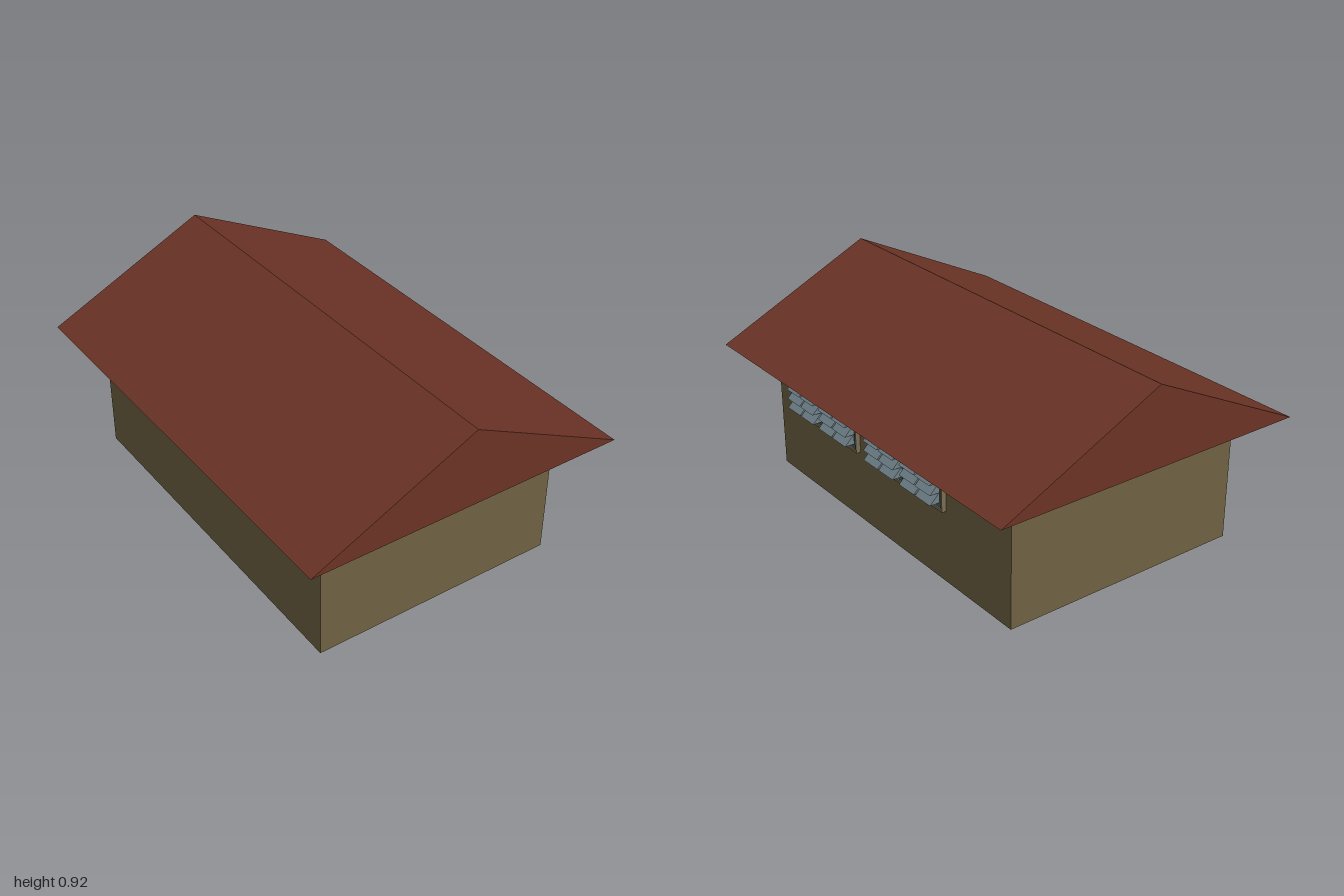
import * as THREE from 'three';

const material = (color) => new THREE.MeshStandardMaterial({ color, flatShading: true });
const wallMat = material(0x6f6242);
const roofMat = material(0x6b3326);
const frameMat = material(0x7a6f55);
const sashMat = material(0x46606c);
const glassMat = material(0x70828a);

function add(parent, name, geometry, mat, x = 0, y = 0, z = 0) {
  const mesh = new THREE.Mesh(geometry, mat);
  mesh.name = name;
  mesh.position.set(x, y, z);
  parent.add(mesh);
  return mesh;
}

// Prism from an x-y outline, centred along z
function prism(points, length) {
  const shape = new THREE.Shape(points.map(([x, y]) => new THREE.Vector2(x, y)));
  return new THREE.ExtrudeGeometry(shape, { depth: length, bevelEnabled: false })
    .translate(0, 0, -length / 2);
}

// Rectangular frame with evenly spaced openings, facing +x, back on x = 0
function frame(width, height, depth, openings) {
  const w = width / 2, h = height / 2;
  const shape = new THREE.Shape([[-w, -h], [w, -h], [w, h], [-w, h]]
    .map(([x, y]) => new THREE.Vector2(x, y)));
  for (const { centre, hw, hh } of openings) {
    shape.holes.push(new THREE.Path([[-hw, -hh], [-hw, hh], [hw, hh], [hw, -hh]]
      .map(([x, y]) => new THREE.Vector2(centre + x, y))));
  }
  return new THREE.ExtrudeGeometry(shape, { depth, bevelEnabled: false })
    .rotateY(Math.PI / 2);
}

// Louvred window: frame, two sashes, each with two columns of three wedge slats
function createWindow() {
  const group = new THREE.Group();
  group.name = 'louvredWindow';
  const sashes = [-0.129, 0.129];
  add(group, 'windowFrame', frame(0.512, 0.204, 0.02,
    sashes.map((centre) => ({ centre, hw: 0.117, hh: 0.09 }))), frameMat);

  const slat = prism([[0, 0], [0.045, 0], [0, 0.045]], 0.102);
  for (const z of sashes) {
    add(group, 'sash', frame(0.234, 0.18, 0.014,
      [-0.056, 0.056].map((centre) => ({ centre, hw: 0.051, hh: 0.068 }))), sashMat, 0, 0, z);
    add(group, 'pane', new THREE.BoxGeometry(0.004, 0.15, 0.22), glassMat, 0.003, 0, z);
    for (const column of [-0.055, 0.055]) {
      for (let row = 0; row < 3; row++) {
        add(group, 'louvreSlat', slat, glassMat, 0.015, -0.068 + row * 0.0435, z + column);
      }
    }
  }
  return group;
}

export function createModel() {
  const house = new THREE.Group();
  house.name = 'house';

  // Walls
  add(house, 'walls', new THREE.BoxGeometry(1.115, 0.57, 1.675), wallMat, -0.0125, 0.285, 0.0025);

  // Gabled roof with overhanging eaves
  add(house, 'roof', prism([[-0.72, 0.57], [0.72, 0.57], [0, 0.915]], 2), roofMat);

  // Two windows on the left wall
  for (const z of [0.44, -0.172]) {
    const win = createWindow();
    win.position.set(0.545, 0.421, z);
    house.add(win);
  }
  return house;
}
